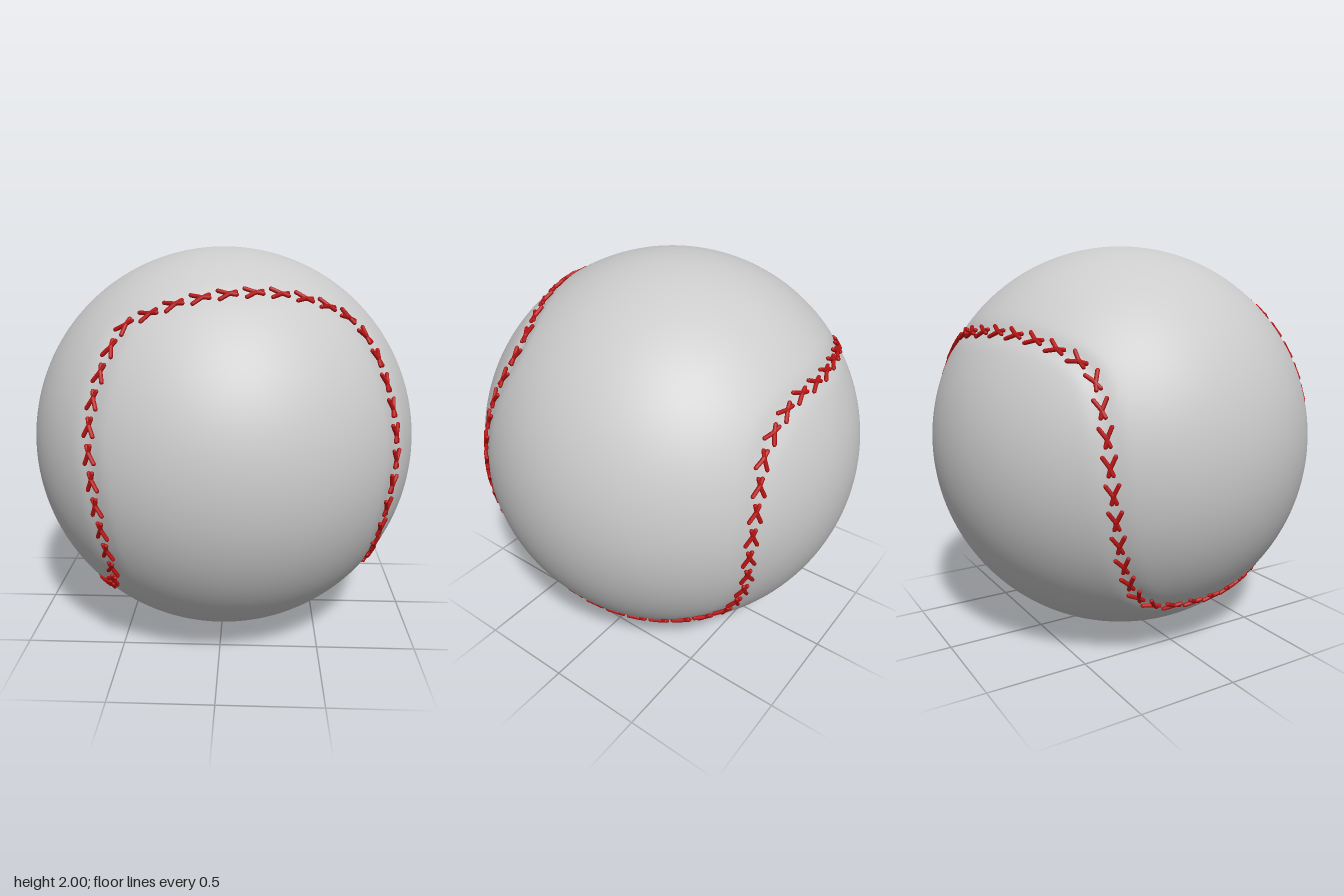
import * as THREE from 'three';
import { mergeVertices, mergeGeometries } from 'three/addons/utils/BufferGeometryUtils.js';

const RADIUS = 1;
const STITCH_GAP = 0.121;

// Directions that the closed seam passes through
const SEAM = [
  [-.55, 0, .835], [-.56, .23, .795], [-.48, .56, .675], [-.41, .67, .62],
  [-.3, .72, .625], [-.19, .76, .62], [.05, .805, .595], [.29, .8, .53],
  [.52, .73, .445], [.61, .675, .415], [.7, .58, .425], [.79, .36, .5],
  [.835, 0, .555], [.81, -.14, .57], [.77, -.38, .51], [.765, -.48, .44],
  [.76, -.55, .35], [.745, -.62, .24], [.72, -.69, -.02], [.67, -.7, -.25],
  [.58, -.65, -.49], [.53, -.6, -.6], [.49, -.53, -.69], [.51, -.31, -.8],
  [.545, -.05, -.84], [.51, .2, -.84], [.42, .41, -.81], [.22, .55, -.81],
  [-.03, .58, -.82], [-.26, .58, -.77], [-.5, .54, -.68], [-.7, .43, -.57],
  [-.79, .24, -.557], [-.836, 0, -.548], [-.82, -.27, -.506], [-.78, -.43, -.45],
  [-.714, -.61, -.34], [-.684, -.7, -.19], [-.7, -.714, -.04], [-.62, -.69, .36],
  [-.55, -.64, .54], [-.5, -.5, .71], [-.52, -.25, .815],
];

// Sphere with a shallow groove pressed in along the seam
function ballGeometry(seamPoints) {
  const sphere = new THREE.SphereGeometry(RADIUS, 160, 100);
  sphere.deleteAttribute('uv');
  sphere.deleteAttribute('normal');
  const geo = mergeVertices(sphere, 1e-4);
  const pos = geo.attributes.position;
  const v = new THREE.Vector3();
  for (let i = 0; i < pos.count; i++) {
    v.fromBufferAttribute(pos, i);
    let d2 = Infinity;
    for (const p of seamPoints) d2 = Math.min(d2, v.distanceToSquared(p));
    v.multiplyScalar(1 - 0.012 * Math.exp(-d2 / 0.0016));
    pos.setXYZ(i, v.x, v.y, v.z);
  }
  geo.computeVertexNormals();
  return geo;
}

// Rounded length of thread between two points
function threadGeometry(a, b) {
  const dir = b.clone().sub(a);
  const geo = new THREE.CapsuleGeometry(0.01, dir.length(), 3, 7);
  const turn = new THREE.Quaternion().setFromUnitVectors(
    new THREE.Vector3(0, 1, 0), dir.clone().normalize());
  geo.applyQuaternion(turn);
  const mid = a.clone().add(b).multiplyScalar(0.5);
  return geo.translate(mid.x, mid.y, mid.z);
}

export function createModel() {
  const group = new THREE.Group();
  group.name = 'stitchedBall';

  const curve = new THREE.CatmullRomCurve3(
    SEAM.map((p) => new THREE.Vector3(...p).normalize()), true);
  curve.arcLengthDivisions = 1000;
  const seamPoints = curve.getSpacedPoints(400).map((p) => p.normalize());

  const ball = new THREE.Mesh(ballGeometry(seamPoints),
    new THREE.MeshStandardMaterial({ color: 0xcccccc }));
  ball.name = 'ball';

  // Narrow crossed threads, repeated evenly along the seam
  const count = Math.round(curve.getLength() / STITCH_GAP);
  const threads = [];
  for (let i = 0; i < count; i++) {
    const out = curve.getPointAt(i / count).normalize();
    const along = curve.getTangentAt(i / count).projectOnPlane(out).normalize();
    const side = new THREE.Vector3().crossVectors(out, along);
    const at = (t, s) => out.clone().addScaledVector(along, t)
      .addScaledVector(side, s).setLength(RADIUS + 0.002);
    for (const m of [-1, 1]) {
      threads.push(threadGeometry(at(-0.036, m * 0.028), at(0.006, m * 0.003)));
      threads.push(threadGeometry(at(0.006, m * 0.003), at(0.042, m * -0.01)));
    }
  }
  const stitches = new THREE.Mesh(mergeGeometries(threads),
    new THREE.MeshStandardMaterial({ color: 0xb81212 }));
  stitches.name = 'seamStitches';

  ball.position.y = stitches.position.y = RADIUS;
  group.add(ball, stitches);
  return group;
}
